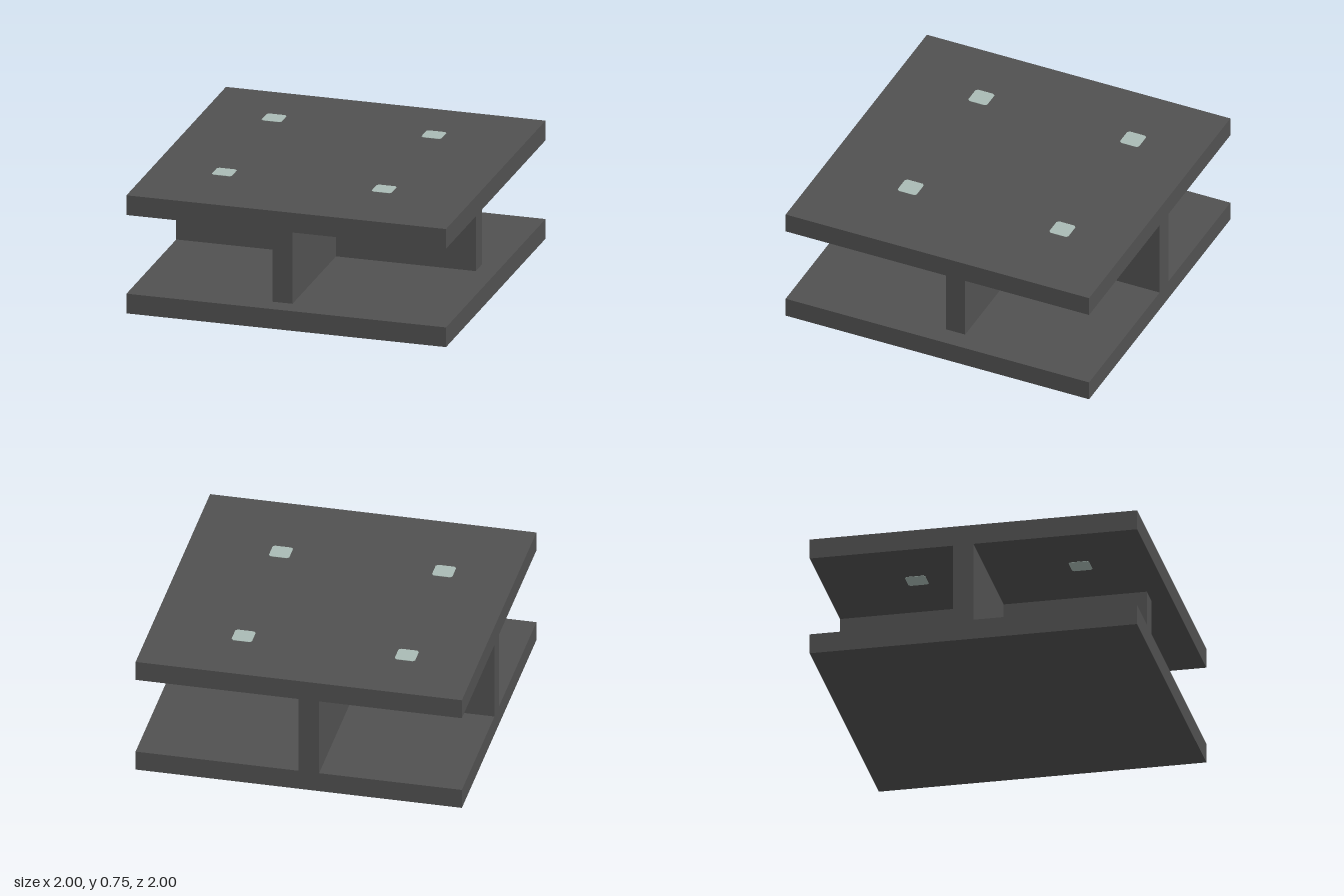
import * as THREE from 'three';

export function createModel() {
  const model = new THREE.Group();
  const darkGrey = new THREE.MeshStandardMaterial({ color: 0x515151 });
  darkGrey.name = 'darkGrey';
  const paleGreen = new THREE.MeshStandardMaterial({ color: 0xaabbb5 });
  paleGreen.name = 'paleGreen';

  const add = (name, geometry, material, x, y, z) => {
    const mesh = new THREE.Mesh(geometry, material);
    mesh.name = name;
    mesh.position.set(x, y, z);
    model.add(mesh);
  };

  // Floor and ceiling slabs
  const slab = new THREE.BoxGeometry(2, 0.125, 2);
  add('floorSlab', slab, darkGrey, 0, 0.0625, 0);
  add('ceilingSlab', slab, darkGrey, 0, 0.6875, 0);

  // Crossing walls, flush with the left-hand and back slab edges (shape y is -z)
  const [start, near, far, end] = [-1, -0.125, 0, 0.875];
  const outline = [
    [start, near], [near, near], [near, start], [far, start], [far, near], [end, near],
    [end, far], [far, far], [far, end], [near, end], [near, far], [start, far],
  ].map(([x, z]) => new THREE.Vector2(x, -z));
  const walls = new THREE.ExtrudeGeometry(new THREE.Shape(outline), { depth: 0.5, bevelEnabled: false });
  walls.rotateX(-Math.PI / 2);
  add('crossWalls', walls, darkGrey, 0, 0.125, 0);

  // Small square lamps with clipped corners, on both faces of the ceiling slab
  const h = 0.0625, c = 0.05;
  const lampShape = new THREE.Shape([
    [-c, -h], [c, -h], [h, -c], [h, c], [c, h], [-c, h], [-h, c], [-h, -c],
  ].map(([x, y]) => new THREE.Vector2(x, y)));
  const lamp = new THREE.ExtrudeGeometry(lampShape, { depth: 0.004, bevelEnabled: false });
  lamp.rotateX(-Math.PI / 2);
  lamp.translate(0, -0.002, 0);
  for (const x of [-0.5625, 0.4375]) {
    for (const z of [-0.5625, 0.4375]) {
      add('upperLamp', lamp, paleGreen, x, 0.75, z);
      add('lowerLamp', lamp, paleGreen, x, 0.625, -z);
    }
  }

  return model;
}
